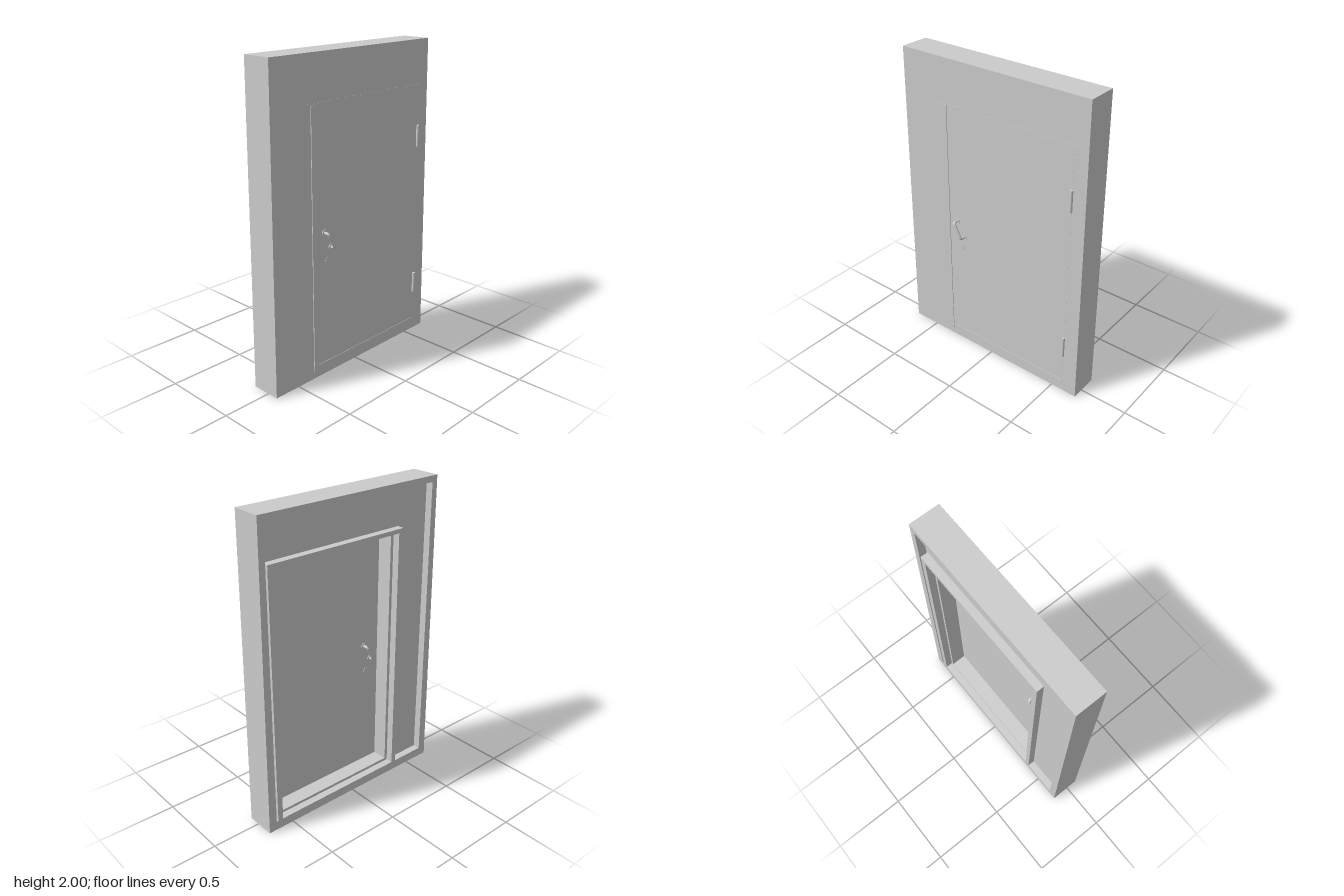
import * as THREE from 'three';

const material = new THREE.MeshStandardMaterial({ color: 0xcccccc });

function add(parent, name, geometry, x = 0, y = 0, z = 0) {
  const mesh = new THREE.Mesh(geometry, material);
  mesh.name = name;
  mesh.position.set(x, y, z);
  parent.add(mesh);
  return mesh;
}

// Box given by its lower and upper limits
function block(parent, name, x0, x1, y0, y1, z0, z1) {
  return add(parent, name, new THREE.BoxGeometry(x1 - x0, y1 - y0, z1 - z0),
    (x0 + x1) / 2, (y0 + y1) / 2, (z0 + z1) / 2);
}

// Slightly tapering wall slab with a rectangular hole
function wallLayer(parent, name, [x0, x1, y0, y1], z0, z1) {
  const shape = new THREE.Shape([[-0.68, 0], [0.68, 0], [0.664, 2], [-0.664, 2]]
    .map(p => new THREE.Vector2(...p)));
  shape.holes.push(new THREE.Path([[x0, y0], [x0, y1], [x1, y1], [x1, y0]]
    .map(p => new THREE.Vector2(...p))));
  add(parent, name, new THREE.ExtrudeGeometry(shape, { depth: z1 - z0, bevelEnabled: false }), 0, 0, z0);
}

// Slanted pull handle with two rosettes and a lock plate, facing +z
function makeHandle(name) {
  const group = new THREE.Group();
  group.name = name;
  const a = new THREE.Vector3(-0.027, 0.051, 0);
  const b = new THREE.Vector3(0.027, -0.051, 0);
  const out = new THREE.Vector3(0, 0, 0.035);
  const aTop = a.clone().add(out), bTop = b.clone().add(out);
  const path = new THREE.CurvePath();
  const a1 = a.clone().lerp(aTop, 0.5), a2 = aTop.clone().lerp(bTop, 0.15);
  const b1 = b.clone().lerp(bTop, 0.5), b2 = bTop.clone().lerp(aTop, 0.15);
  path.add(new THREE.LineCurve3(a, a1));
  path.add(new THREE.QuadraticBezierCurve3(a1, aTop, a2));
  path.add(new THREE.LineCurve3(a2, b2));
  path.add(new THREE.QuadraticBezierCurve3(b2, bTop, b1));
  path.add(new THREE.LineCurve3(b1, b));
  add(group, 'handleBar', new THREE.TubeGeometry(path, 48, 0.009, 12));
  for (const p of [a, b]) {
    const rosette = new THREE.CylinderGeometry(0.02, 0.02, 0.008, 24).rotateX(Math.PI / 2);
    add(group, 'handleRosette', rosette, p.x, p.y, 0.001);
  }
  add(group, 'lockPlate', new THREE.CylinderGeometry(0.025, 0.025, 0.006, 24).rotateX(Math.PI / 2), 0, -0.135, 0);
  return group;
}

export function createModel() {
  const model = new THREE.Group();
  model.name = 'doorInWall';

  // Wall: recessed rear border, stepped reveal, flush front
  wallLayer(model, 'rearBorder', [-0.625, 0.625, 0.06, 1.96], -0.12, -0.072);
  wallLayer(model, 'wallCore', [-0.335, 0.558, 0.078, 1.675], -0.072, 0.03);
  wallLayer(model, 'wallFront', [-0.37, 0.578, 0.05, 1.712], 0.03, 0.075);

  // Casing around the opening at the back
  block(model, 'casingRight', -0.39, -0.356, 0.06, 1.695, -0.12, -0.072);
  block(model, 'casingLeft', 0.576, 0.612, 0.06, 1.695, -0.12, -0.072);
  block(model, 'casingTop', -0.39, 0.612, 1.695, 1.722, -0.12, -0.072);

  // Door leaf with its front trims
  block(model, 'doorLeaf', -0.37, 0.578, 0.05, 1.712, 0.03, 0.0755);
  block(model, 'closingStrip', -0.37, -0.332, 0.045, 1.71, 0.07, 0.08);
  block(model, 'bottomBar', -0.332, 0.577, 0.069, 0.083, 0.07, 0.078);
  block(model, 'headTrim', -0.39, 0.615, 1.718, 1.722, 0.07, 0.0765);

  // Hinge barrels
  for (const y of [0.355, 1.385]) {
    add(model, 'hinge', new THREE.CylinderGeometry(0.01, 0.01, 0.14, 16), 0.576, y, 0.083);
  }

  // Handles on both faces
  const front = makeHandle('frontHandle');
  front.position.set(-0.245, 0.887, 0.0755);
  const back = makeHandle('backHandle');
  back.position.set(-0.245, 0.887, 0.03);
  back.rotation.y = Math.PI;
  model.add(front, back);

  return model;
}
